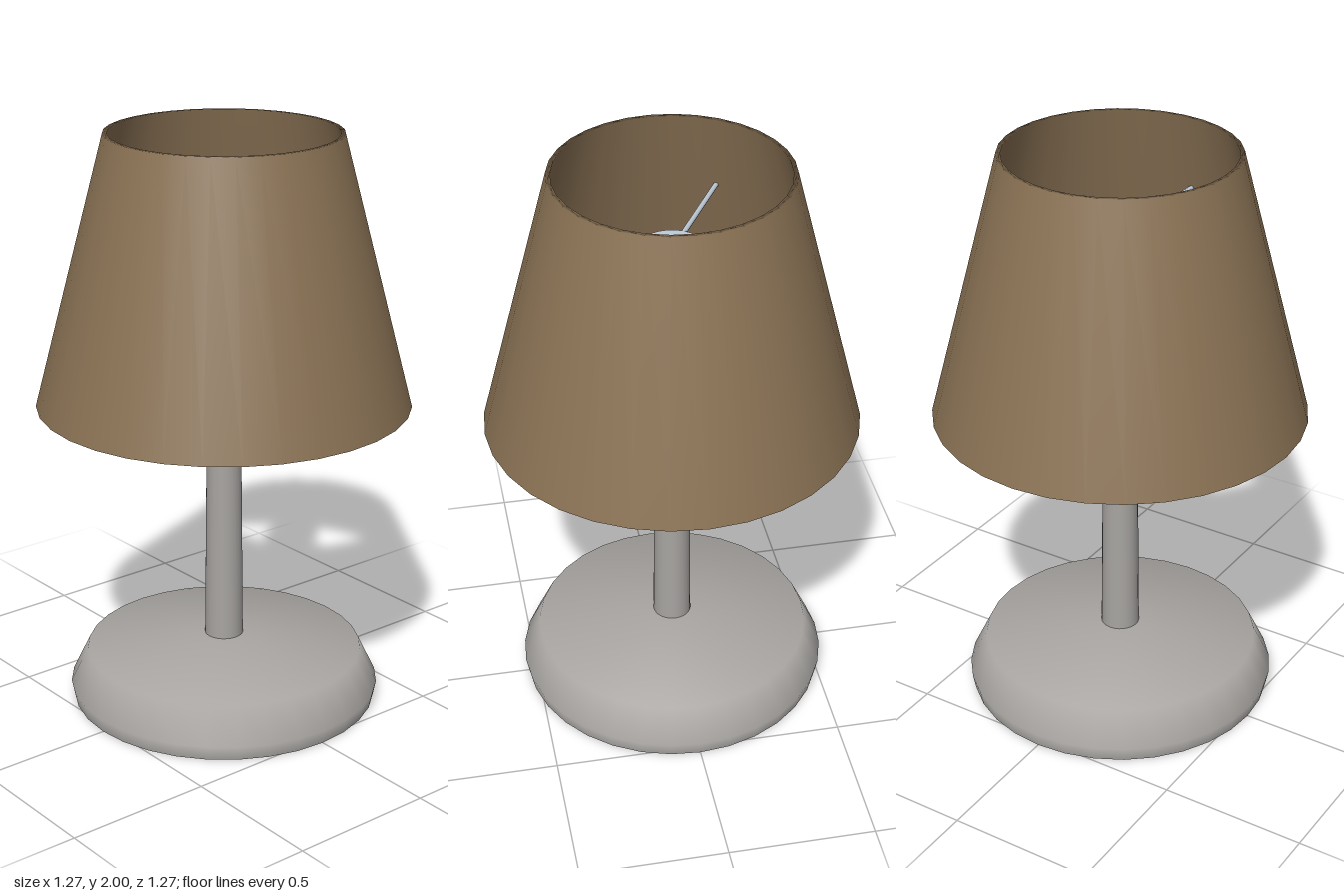
import * as THREE from 'three';

const material = (name, color) => {
  const m = new THREE.MeshStandardMaterial({ color });
  m.name = name;
  return m;
};

export function createModel() {
  const lamp = new THREE.Group();
  lamp.name = 'tableLamp';

  const fabric = material('brown fabric', 0x8b7355);
  const stone = material('warm grey', 0xa8a5a2);
  const metal = material('pale blue metal', 0xc0ccd8);

  const add = (name, geometry, mat) => {
    const mesh = new THREE.Mesh(geometry, mat);
    mesh.name = name;
    lamp.add(mesh);
    return mesh;
  };
  // Turned part from [radius, height] pairs, listed anticlockwise
  const turn = (profile, sides = 32) =>
    new THREE.LatheGeometry(profile.map(([r, y]) => new THREE.Vector2(r, y)), sides);
  // Flat cap facing up or down
  const cap = (radius, y, up) =>
    new THREE.CircleGeometry(radius, 32).rotateX(up ? -Math.PI / 2 : Math.PI / 2).translate(0, y, 0);

  // Heavy rounded base with a shallow conical top
  add('base', turn([[0.53, 0], [0.54, 0.05], [0.48, 0.175], [0.1, 0.22], [0, 0.22]]), stone);
  add('baseUnderside', cap(0.53, 0, false), stone);

  // Slightly tapered pole
  add('pole', new THREE.CylinderGeometry(0.057, 0.067, 1.02, 24).translate(0, 0.71, 0), stone);

  // Bulb socket: small collar below a flaring cup
  add('socketCollar', new THREE.CylinderGeometry(0.08, 0.075, 0.08, 32).translate(0, 1.24, 0), metal);
  add('socketCup', turn([[0.08, 1.28], [0.09, 1.3], [0.11, 1.73]]), metal);
  add('socketCupUnderside', cap(0.08, 1.28, false), metal);
  add('socketTop', cap(0.11, 1.73, true), metal);

  // Three spokes carrying the shade
  for (let i = 0; i < 3; i++) {
    const spoke = add('spoke', new THREE.CylinderGeometry(0.009, 0.009, 0.36, 8)
      .rotateZ(Math.PI / 2).translate(0.275, 1.72, 0), metal);
    spoke.rotation.y = (i * Math.PI * 2) / 3;
  }

  // Thin-walled conical shade, open at both ends
  add('shade', turn([
    [0.622, 1.08], [0.635, 1.08], [0.395, 2], [0.38, 2], [0.622, 1.08],
  ]), fabric);

  return lamp;
}
